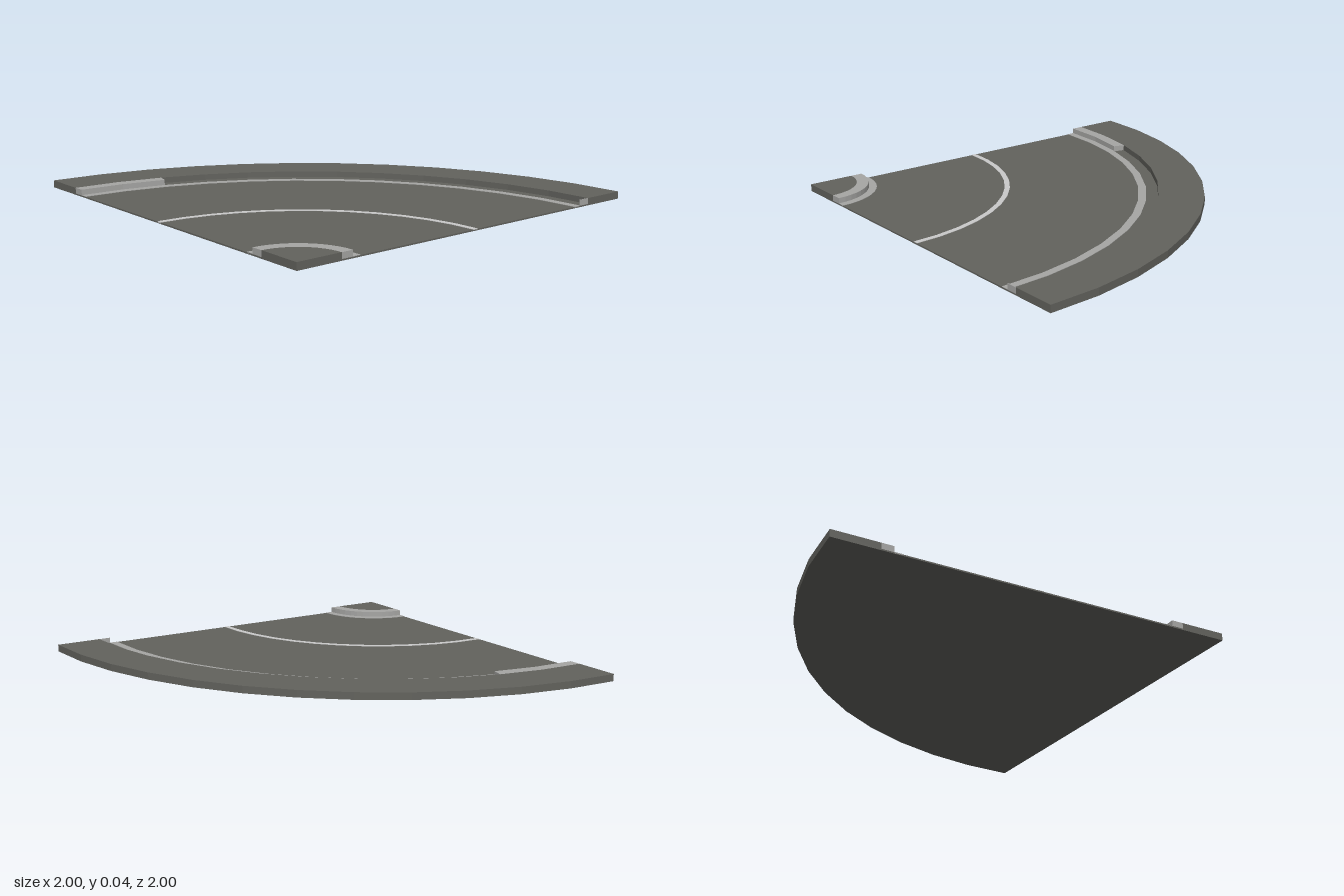
import * as THREE from 'three';

const SEGMENTS = 12; // facets per quarter turn
const STEP = Math.PI / 2 / SEGMENTS;

// Solid ring sector around the corner, between two radii, two heights and two facet numbers
function sector(r0, r1, y0, y1, from = 0, to = SEGMENTS) {
  const at = (r, i) => new THREE.Vector2(r * Math.sin(i * STEP), r * Math.cos(i * STEP));
  const points = [];
  for (let i = to; i >= from; i--) points.push(at(r1, i));
  if (r0 === 0) points.push(new THREE.Vector2(0, 0));
  else for (let i = from; i <= to; i++) points.push(at(r0, i));
  const geometry = new THREE.ExtrudeGeometry(new THREE.Shape(points), { depth: y1 - y0, bevelEnabled: false });
  geometry.rotateX(-Math.PI / 2);
  geometry.translate(-1, y0, 1);
  return geometry;
}

export function createModel() {
  const group = new THREE.Group();
  const material = (name, color) => {
    const m = new THREE.MeshStandardMaterial({ color });
    m.name = name;
    return m;
  };
  const asphalt = material('asphalt', 0x62625d);
  const concrete = material('concrete', 0xa6a6a4);
  const paint = material('road paint', 0xcacaca);

  const add = (name, geometry, mat) => {
    const mesh = new THREE.Mesh(geometry, mat);
    mesh.name = name;
    group.add(mesh);
  };

  const road = 0.007, top = 0.036;

  // Road surface and raised pavements
  add('road', sector(0.23, 1.77, 0, road), asphalt);
  add('outerPavement', sector(1.77, 2, 0, top), asphalt);
  add('innerPavement', sector(0, 0.23, 0, top), asphalt);

  // Flush gutters and the painted centre line
  add('outerGutter', sector(1.67, 1.71, 0.003, road + 0.002), concrete);
  add('innerGutter', sector(0.29, 0.33, 0.003, road + 0.002), concrete);
  add('centreLine', sector(0.985, 1.012, 0.003, road + 0.002), paint);

  // Kerbs: the inner runs all the way, the outer only along the first two facets
  add('innerKerb', sector(0.23, 0.29, road, top), concrete);
  add('outerKerb', sector(1.71, 1.77, road, top, 0, 2), concrete);

  // Thin kerb end plate at the front edge
  const plate = new THREE.BoxGeometry(0.06, top - road, 0.002);
  plate.translate(0.74, (top + road) / 2, 0.999);
  add('kerbEndPlate', plate, concrete);

  return group;
}
